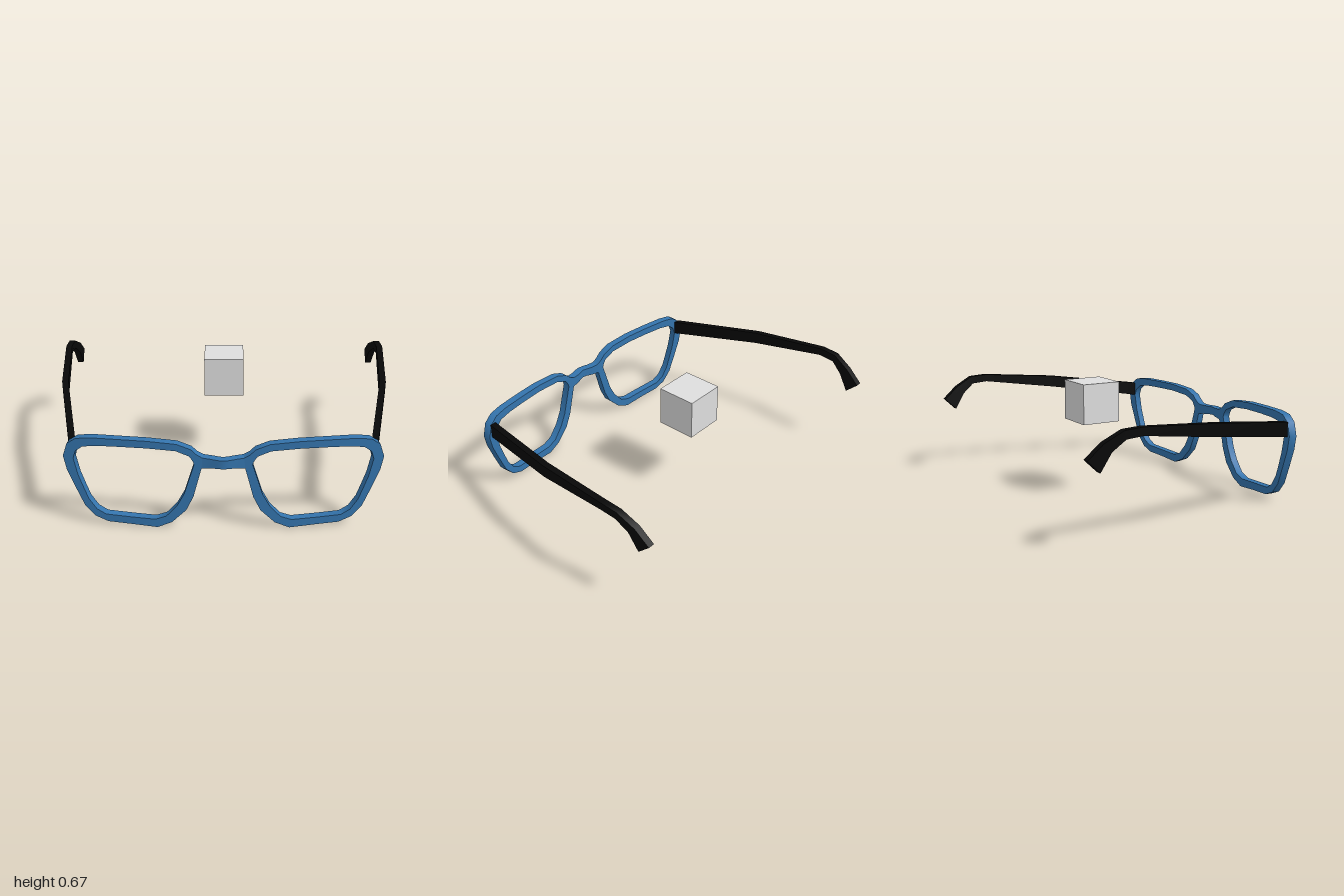
import * as THREE from 'three';
import { toCreasedNormals } from 'three/addons/utils/BufferGeometryUtils.js';

const frameBlue = new THREE.MeshStandardMaterial({ color: 0x3474ad });
frameBlue.name = 'frame blue';
const templeBlack = new THREE.MeshStandardMaterial({ color: 0x080808 });
templeBlack.name = 'temple black';
const paleGrey = new THREE.MeshStandardMaterial({ color: 0xdedede });
paleGrey.name = 'pale grey';

// Rim, clockwise from the bridge: [outer x, outer y, inner x, inner y]
const RIM = [
  [0.11, 0.437, 0.158, 0.41], [0.14, 0.455, 0.166, 0.425], [0.17, 0.485, 0.18, 0.445],
  [0.245, 0.515, 0.25, 0.475], [0.4, 0.528, 0.4, 0.486], [0.55, 0.53, 0.55, 0.487],
  [0.7, 0.53, 0.67, 0.485], [0.78, 0.52, 0.745, 0.475], [0.83, 0.485, 0.785, 0.445],
  [0.855, 0.41, 0.8, 0.4], [0.84, 0.33, 0.78, 0.3], [0.8, 0.225, 0.753, 0.22],
  [0.755, 0.115, 0.73, 0.155], [0.7, 0.05, 0.69, 0.095], [0.63, 0.02, 0.64, 0.065],
  [0.5, 0.012, 0.5, 0.057], [0.36, 0, 0.37, 0.05], [0.28, 0.035, 0.31, 0.072],
  [0.2, 0.115, 0.25, 0.14], [0.16, 0.2, 0.21, 0.215], [0.115, 0.375, 0.155, 0.395],
  [0.11, 0.437, 0.158, 0.41],
];
// Bridge, left to right: [top x, top y, bottom x, bottom y]
const BRIDGE = [
  [-0.11, 0.437, -0.115, 0.375], [-0.07, 0.434, -0.07, 0.38], [-0.03, 0.433, -0.03, 0.383],
  [0, 0.433, 0, 0.383],
  [0.03, 0.433, 0.03, 0.383], [0.07, 0.434, 0.07, 0.38], [0.11, 0.437, 0.115, 0.375],
];
// Front surface depth across the width: [x, z]
const CURVE = [
  [0, 0.737], [0.03, 0.732], [0.07, 0.719], [0.11, 0.712], [0.25, 0.707],
  [0.4, 0.698], [0.6, 0.677], [0.75, 0.656], [0.86, 0.638],
];
// Temple stations: [x, top z, top y, bottom z, bottom y]
const STATIONS = [
  [0.808, 0.6, 0.488, 0.6, 0.404],
  [0.933, 0.015, 0.565, 0.015, 0.493],
  [0.981, -0.45, 0.604, -0.45, 0.56],
  [0.978, -0.555, 0.598, -0.545, 0.553],
  [0.963, -0.66, 0.542, -0.615, 0.497],
  [0.956, -0.745, 0.467, -0.675, 0.4],
];

function curveZ(x) {
  const a = Math.abs(x);
  let i = 0;
  while (i < CURVE.length - 2 && a > CURVE[i + 1][0]) i++;
  const [x0, z0] = CURVE[i], [x1, z1] = CURVE[i + 1];
  return z0 + ((z1 - z0) * (a - x0)) / (x1 - x0);
}

// A four-sided bar: the rule places each corner of each section
function sweep(sections, rule) {
  const n = sections.length - 1;
  const g = new THREE.BoxGeometry(1, 1, 1, n, 1, 1);
  const p = g.attributes.position;
  for (let i = 0; i < p.count; i++) {
    const section = sections[Math.round((p.getX(i) + 0.5) * n)];
    p.setXYZ(i, ...rule(section, p.getY(i) > 0, p.getZ(i)));
  }
  return toCreasedNormals(g, 0.75);
}

// Rim or bridge bar, wrapped round the face and thickened along the curve's normal
function buildFrameBar(pairs) {
  const depth = 0.045, h = 0.04;
  return sweep(pairs, ([ox, oy, ix, iy], outer, t) => {
    const x = outer ? ox : ix, y = outer ? oy : iy;
    const slope = (curveZ(x + h) - curveZ(x - h)) / (2 * h);
    const len = Math.hypot(slope, 1);
    const back = (t - 0.5) * depth;
    return [x - (slope / len) * back, y, curveZ(x) + back / len];
  });
}

// Tapered arm with a hooked tip
function buildTemple(side) {
  return sweep(STATIONS, ([cx, tz, ty, bz, by], top, t) =>
    [side * cx + t * 0.037, top ? ty : by, top ? tz : bz]);
}

export function createModel() {
  const group = new THREE.Group();
  group.name = 'eyeglasses';
  const add = (name, geometry, material) => {
    const mesh = new THREE.Mesh(geometry, material);
    mesh.name = name;
    group.add(mesh);
    return mesh;
  };
  const mirroredRim = RIM.map(([ox, oy, ix, iy]) => [-ox, oy, -ix, iy]).reverse();
  add('leftRim', buildFrameBar(RIM), frameBlue);
  add('rightRim', buildFrameBar(mirroredRim), frameBlue);
  add('bridge', buildFrameBar(BRIDGE), frameBlue);
  add('leftTemple', buildTemple(1), templeBlack);
  add('rightTemple', buildTemple(-1), templeBlack);
  // Loose cube floating between the temples
  add('cube', new THREE.BoxGeometry(0.233, 0.233, 0.233), paleGrey).position.set(0, 0.555, -0.183);
  return group;
}
